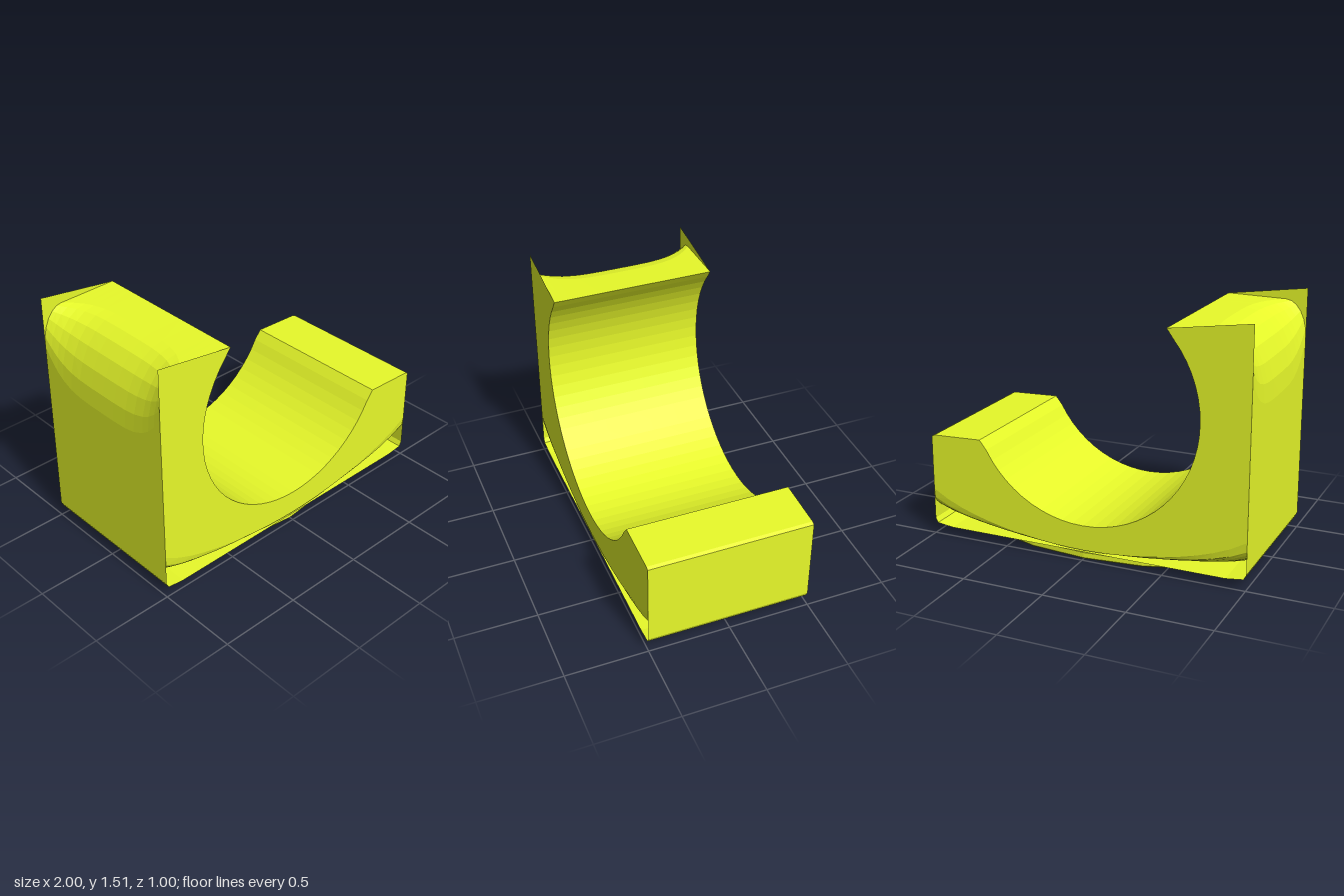
import * as THREE from 'three';

const material = new THREE.MeshStandardMaterial({ color: 0xe8fa2a, flatShading: true, side: THREE.DoubleSide });
const FRONT = 0.5, BACK = -0.495;

// Underside height: nearly flat in the middle, lifting steeply at the four corners
function underside(x, u) {
  const lift = 1 - Math.pow(Math.max(0, 1 - Math.pow(u, 2.3)), 0.35);
  return 0.062 + 0.035 * Math.pow(x, 8) + 0.19 * x * x * lift;
}

// Counter-clockwise outline of the cradle at depth u (0 = middle, 1 = end face)
function outline(u, squareCorner) {
  // round seat
  const pts = [[0.67, 0.645]];
  const from = -0.4, to = -Math.PI - 0.79;
  for (let i = 1; i < 36; i++) {
    const a = from + (to - from) * i / 36;
    pts.push([0.712 * Math.cos(a), 0.93 + 0.715 * Math.sin(a)]);
  }
  pts.push([-0.51, 1.44]);
  // outer top corner of the tall arm: rounded body or pointed end face
  const k = Math.pow(u, 4);
  const a = 0.72 + 0.15 * k, low = 1.0 + 0.21 * k;
  if (squareCorner) pts.push([-1, 1.51]);
  else for (let i = 0; i <= 6; i++) {
    const t = Math.PI / 2 * i / 6;
    pts.push([-a - (1 - a) * Math.sin(t), low + (1.435 - low) * Math.cos(t)]);
  }
  // underside
  for (let i = 0; i <= 20; i++) {
    const x = -1 + i / 10;
    pts.push([x, underside(x, u)]);
  }
  // short arm
  pts.push([1, 0.625], [0.98, 0.634]);
  return pts;
}

// Joins equal rings of [x, y, z] points into one surface
function loft(rings, closed) {
  const n = rings[0].length, index = [];
  for (let r = 0; r < rings.length - 1; r++) {
    for (let i = 0; i < (closed ? n : n - 1); i++) {
      const j = (i + 1) % n, p = r * n, q = p + n;
      index.push(p + i, p + j, q + j, p + i, q + j, q + i);
    }
  }
  const geo = new THREE.BufferGeometry();
  geo.setAttribute('position', new THREE.Float32BufferAttribute(rings.flat(2), 3));
  geo.setIndex(index);
  geo.computeVertexNormals();
  return geo;
}

export function createModel() {
  const model = new THREE.Group();
  model.name = 'cradleStand';
  const add = (name, geo) => {
    const mesh = new THREE.Mesh(geo, material);
    mesh.name = name;
    model.add(mesh);
    return mesh;
  };

  // cradle body, lofted from back to front
  const half = [0, 0.2, 0.4, 0.55, 0.7, 0.8, 0.9, 0.96, 0.985, 1];
  const stations = [...half.slice(1).reverse().map((u) => -u), ...half];
  add('cradleBody', loft(stations.map((s) =>
    outline(Math.abs(s), false).map(([x, y]) => [x, y, s < 0 ? -s * BACK : s * FRONT])), true));

  // flat end faces with pointed top corners
  const face = new THREE.Shape(outline(1, true).map(([x, y]) => new THREE.Vector2(x, y)));
  add('frontFace', new THREE.ShapeGeometry(face)).position.z = FRONT;
  const back = add('backFace', new THREE.ShapeGeometry(face));
  back.rotation.y = Math.PI;
  back.scale.x = -1;
  back.position.z = BACK;

  // outer skin: side walls, bevels and bottom plate
  const skin = [
    [-1, 1.0], [-1, 0.095], [-0.985, 0.065], [-0.88, 0.052],
    [0.88, 0.052], [0.985, 0.065], [1, 0.095], [1, 0.62],
  ];
  add('sideAndBottomSkin', loft([BACK, FRONT].map((z) => skin.map(([x, y]) => [x, y, z])), false));

  // oval foot pad with a rounded rim
  const rim = [[0, 0], [0.985, 0], [1, 0.008], [1, 0.04], [0.985, 0.046], [0.97, 0.052]];
  const pad = new THREE.LatheGeometry(rim.map(([r, y]) => new THREE.Vector2(r, y)), 16);
  pad.scale(0.935, 1, 0.48);
  add('footPad', pad);

  return model;
}
